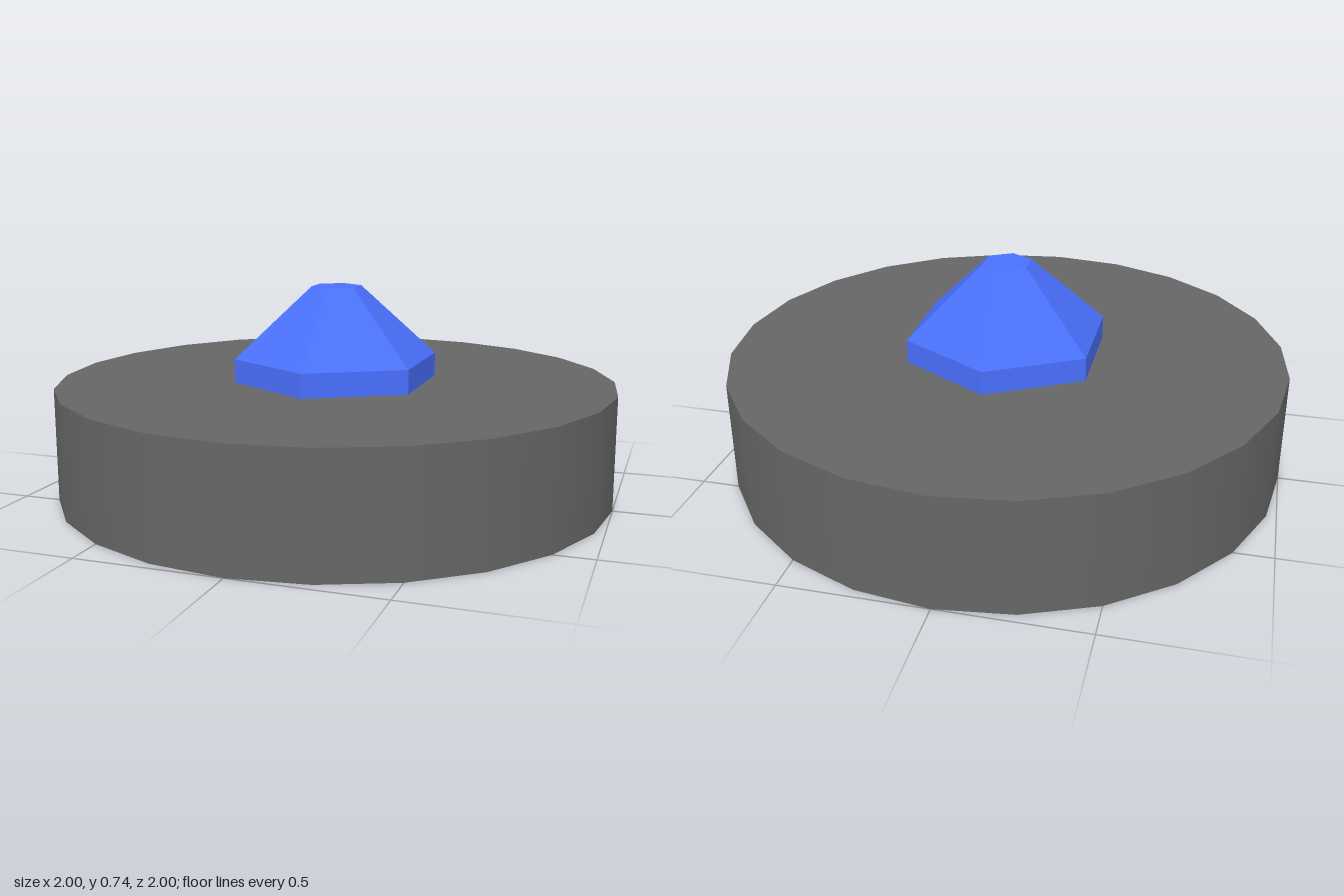
import * as THREE from 'three';

export function createModel() {
  const model = new THREE.Group();

  const add = (name, geometry, material, x, y, z) => {
    const mesh = new THREE.Mesh(geometry, material);
    mesh.name = name;
    mesh.position.set(x, y, z);
    model.add(mesh);
  };

  // Round base: 24 sides with smooth shading
  const baseMaterial = new THREE.MeshStandardMaterial({ color: 0x666666 });
  add('base', new THREE.CylinderGeometry(1, 1, 0.4, 24), baseMaterial, 0, 0.2, 0);

  // Six-sided gem: a straight girdle sunk slightly into the base, then a tapered crown
  const gemMaterial = new THREE.MeshStandardMaterial({ color: 0x4a70ff, flatShading: true });
  const radius = 0.357 * 1.035, topRadius = 0.09;
  const girdleBottom = 0.38, girdleTop = 0.485, crownTop = 0.74;
  const gemX = 0.003, gemZ = 0.006;

  const girdle = new THREE.CylinderGeometry(radius, radius, girdleTop - girdleBottom, 6, 1, true);
  add('gemGirdle', girdle, gemMaterial, gemX, (girdleBottom + girdleTop) / 2, gemZ);

  const crown = new THREE.CylinderGeometry(topRadius, radius, crownTop - girdleTop, 6);
  add('gemCrown', crown, gemMaterial, gemX, (girdleTop + crownTop) / 2, gemZ);

  return model;
}
